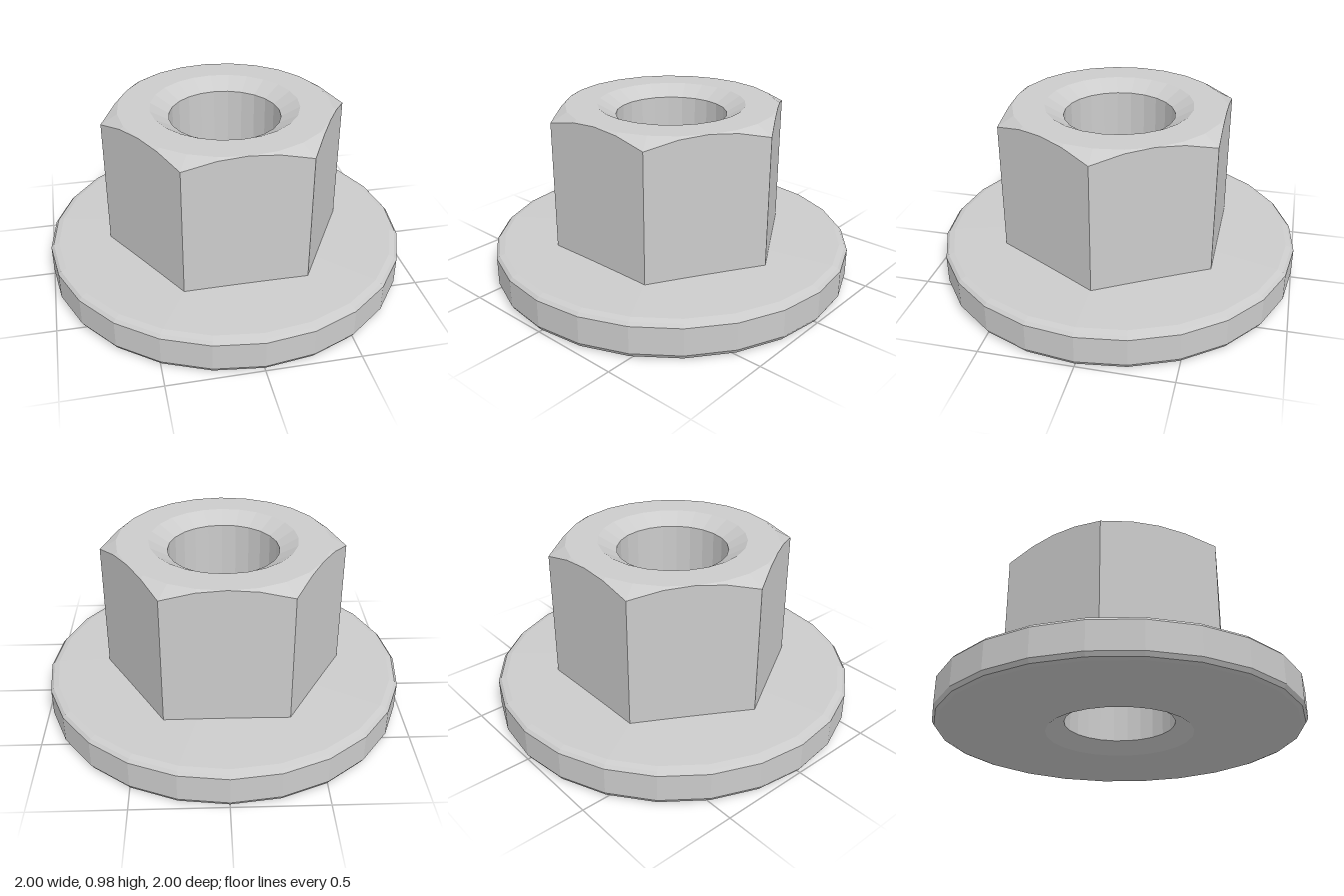
import * as THREE from 'three';

const SIDES = 24;
const HEIGHT = 0.975;
const APOTHEM = 0.575; // half the width across the flats
const BORE = 0.303, RIM = 0.403, SINK = 0.058;

const material = new THREE.MeshStandardMaterial({ color: 0xcccccc, flatShading: true });

function turned(name, profile) {
  const points = profile.map(([r, y]) => new THREE.Vector2(r, y));
  const mesh = new THREE.Mesh(new THREE.LatheGeometry(points, SIDES), material);
  mesh.name = name;
  return mesh;
}

// Hexagonal body: turned, then its wall is pushed out onto six flats
function hexBody() {
  const mesh = turned('hexBody', [
    [APOTHEM, 0.2], [APOTHEM, HEIGHT], // wall
    [APOTHEM, HEIGHT], [RIM, HEIGHT],  // top face
  ]);
  const pos = mesh.geometry.attributes.position;
  for (let i = 0; i < pos.count; i++) {
    const row = i % 4;
    if (row > 1) continue;
    const angle = Math.floor(i / 4) * Math.PI * 2 / SIDES;
    const sector = Math.PI / 3;
    const offset = angle - Math.round(angle / sector) * sector;
    const r = APOTHEM / Math.cos(offset);
    // the wall's upper edge follows the 30 degree corner chamfer
    const y = row === 0 ? 0.2 : HEIGHT - (r - APOTHEM) * Math.tan(Math.PI / 6);
    pos.setXYZ(i, r * Math.sin(angle), y, r * Math.cos(angle));
  }
  mesh.geometry.computeVertexNormals();
  return mesh;
}

export function createModel() {
  const group = new THREE.Group();
  group.name = 'flangeNut';

  // Washer-like flange with rounded edges and a slightly sloping top
  group.add(turned('flange', [
    [RIM, 0], [0.965, 0], [0.987, 0.008], [1, 0.03],
    [1, 0.18], [0.985, 0.197], [0.955, 0.206], [0.5, 0.217],
  ]));

  group.add(hexBody());

  // Through hole, countersunk at both ends
  group.add(turned('bore', [
    [RIM, HEIGHT], [BORE, HEIGHT - SINK], [BORE, SINK], [RIM, 0],
  ]));

  return group;
}
